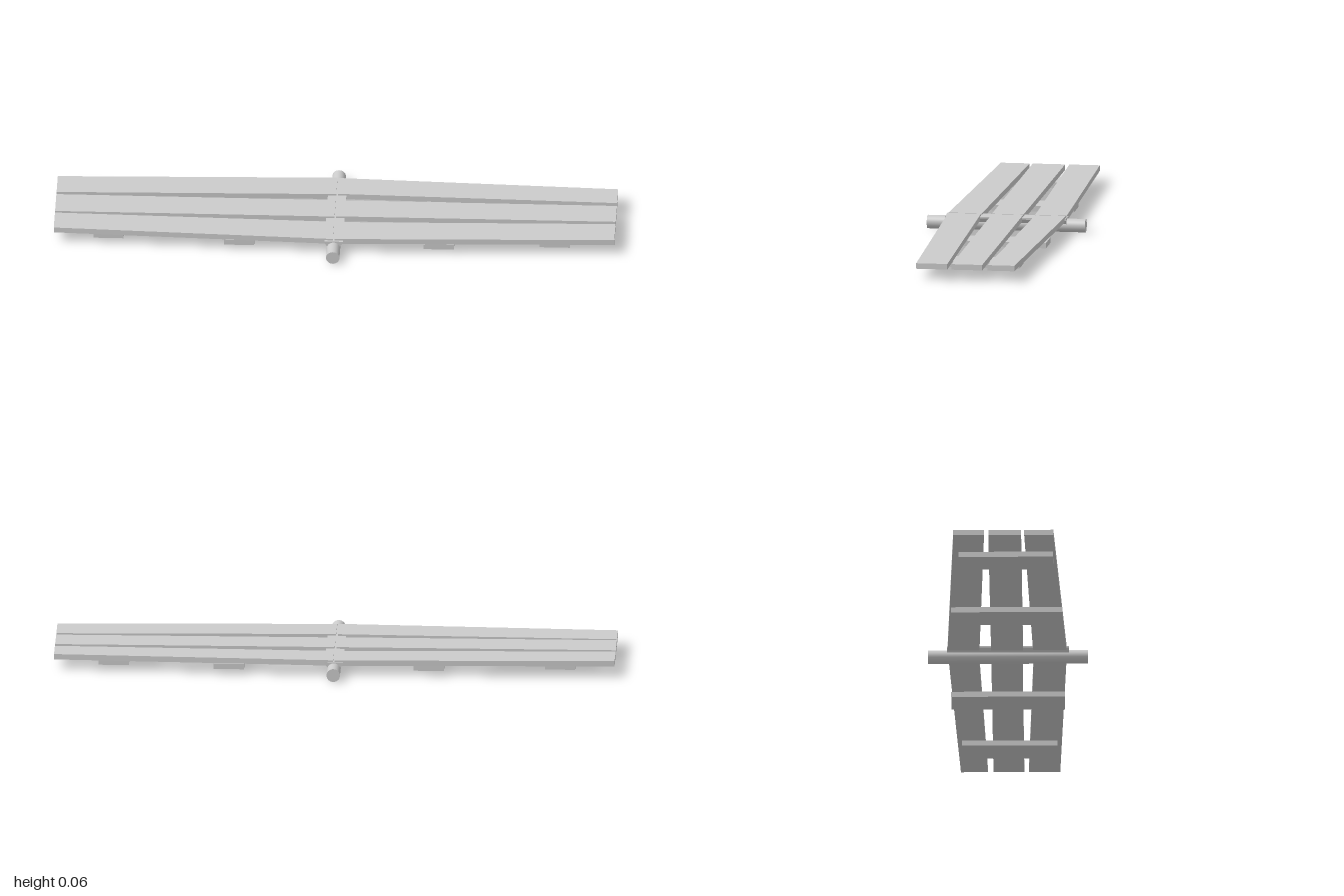
import * as THREE from 'three';

export function createModel() {
  const group = new THREE.Group();
  const material = new THREE.MeshStandardMaterial({ color: 0xcccccc });
  const add = (name, geometry) => {
    const mesh = new THREE.Mesh(geometry, material);
    mesh.name = name;
    group.add(mesh);
    return mesh;
  };

  // Flat board from a plan outline of [x, z] corners, between two heights
  const board = (name, corners, bottom, top) => {
    const shape = new THREE.Shape(corners.map(([x, z]) => new THREE.Vector2(x, -z)));
    const geometry = new THREE.ExtrudeGeometry(shape, { depth: top - bottom, bevelEnabled: false });
    geometry.rotateX(-Math.PI / 2).translate(0, bottom, 0);
    return add(name, geometry);
  };

  // Deck planks: [side, back and front z at the axle, back and front z at the tip]
  const planks = [
    ['leftBackPlank', 1, -0.214, -0.104, -0.176, -0.08],
    ['leftMiddlePlank', 1, -0.06, 0.052, -0.06, 0.05],
    ['leftFrontPlank', 1, 0.092, 0.21, 0.066, 0.178],
    ['rightBackPlank', -1, -0.216, -0.102, -0.187, -0.077],
    ['rightMiddlePlank', -1, -0.06, 0.054, -0.062, 0.055],
    ['rightFrontPlank', -1, 0.09, 0.21, 0.066, 0.17],
  ];
  for (const [name, side, back, front, tipBack, tipFront] of planks) {
    const inner = side * 0.003;
    board(name, [[inner, back], [inner, front], [side, tipFront], [side, tipBack]], 0.038, 0.058);
  }

  // Cross battens under the deck: [centre x, back z, front z]
  const battens = [
    [-0.805, -0.17, 0.168],
    [-0.338, -0.2, 0.197],
    [0.375, -0.205, 0.2],
    [0.787, -0.17, 0.17],
  ];
  for (const [x, back, front] of battens) {
    const w = 0.054;
    board('batten', [[x - w, back], [x - w, front], [x + w, front], [x + w, back]], 0.018, 0.038);
  }

  // Saddle strip joining the planks to the axle
  const profile = new THREE.Shape([
    new THREE.Vector2(-0.02, 0.028), new THREE.Vector2(0.02, 0.028),
    new THREE.Vector2(0.033, 0.046), new THREE.Vector2(0.033, 0.052),
    new THREE.Vector2(-0.033, 0.052), new THREE.Vector2(-0.033, 0.046),
  ]);
  const saddle = new THREE.ExtrudeGeometry(profile, { depth: 0.436, bevelEnabled: false });
  add('saddle', saddle.translate(0, 0, -0.218));

  // Round axle
  const axle = new THREE.CylinderGeometry(0.024, 0.024, 0.57, 32);
  add('axle', axle.rotateX(Math.PI / 2).translate(0, 0.024, 0));

  return group;
}
